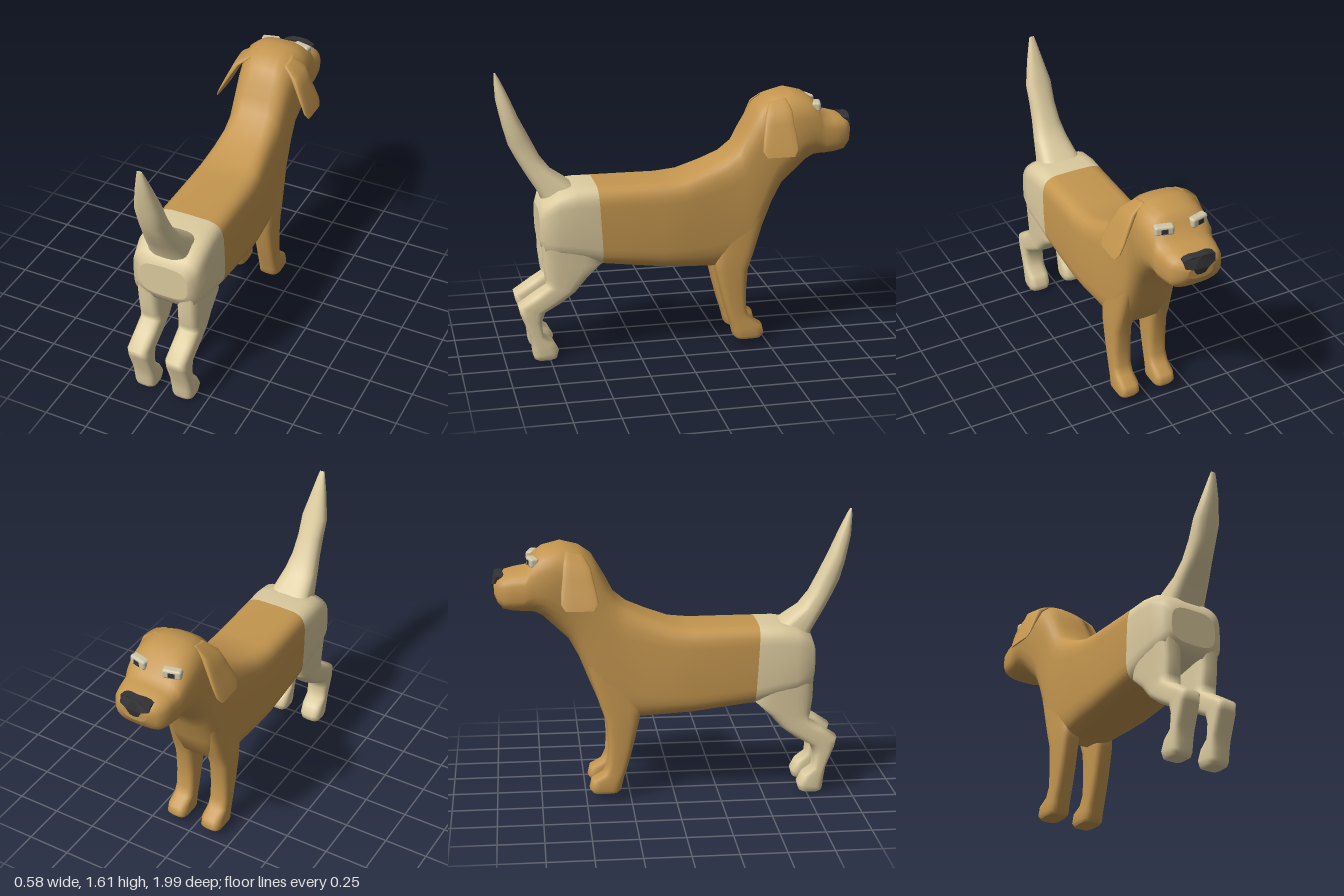
import * as THREE from 'three';
import { RoundedBoxGeometry } from 'three/addons/geometries/RoundedBoxGeometry.js';

const material = (name, color, side = THREE.FrontSide) =>
  Object.assign(new THREE.MeshStandardMaterial({ color, side }), { name });

// Skin over rounded rings. Each ring is [yA, zA, yB, zB, halfWidth, centreX, roundness],
// spanning the line A-B in the side plane; roundness 1 is an ellipse, lower is boxier.
function loft(rings, side = 1, segments = 28) {
  const pos = [], index = [];
  const n = segments, last = rings.length - 1;
  const soft = (v, p) => Math.sign(v) * Math.pow(Math.abs(v), p);
  const addRing = ([yA, zA, yB, zB, w, cx = 0, p = 0.6]) => {
    for (let j = 0; j < n; j++) {
      const t = (j / n) * Math.PI * 2;
      const c = soft(Math.cos(t), p), s = soft(Math.sin(t), p);
      pos.push(cx * side + w * c, (yA + yB) / 2 + ((yA - yB) / 2) * s, (zA + zB) / 2 + ((zA - zB) / 2) * s);
    }
  };
  rings.forEach(addRing);
  for (let i = 0; i < last; i++) {
    for (let j = 0; j < n; j++) {
      const k = (j + 1) % n, a = i * n, b = a + n;
      index.push(a + j, b + j, b + k, a + j, b + k, a + k);
    }
  }
  // end caps with their own vertices
  [0, last].forEach((i) => {
    const base = pos.length / 3;
    addRing(rings[i]);
    for (let j = 1; j < n - 1; j++) {
      if (i === 0) index.push(base, base + j, base + j + 1);
      else index.push(base, base + j + 1, base + j);
    }
  });
  const g = new THREE.BufferGeometry();
  g.setAttribute('position', new THREE.Float32BufferAttribute(pos, 3));
  g.setIndex(index);
  g.computeVertexNormals();
  return g;
}

export function createModel() {
  const dog = new THREE.Group();
  dog.name = 'dog';
  const tan = material('tan coat', 0xc4964f);
  const cream = material('cream coat', 0xdccb9f);
  const black = material('black nose', 0x333336);
  const eyeWhite = material('eye', 0xcfc5a8);

  const add = (name, geometry, mat, parent = dog) => {
    const mesh = new THREE.Mesh(geometry, mat);
    mesh.name = name;
    parent.add(mesh);
    return mesh;
  };

  // torso, neck, head and muzzle, running from the waist forward
  add('bodyAndHead', loft([
    [0.985, 0.47, 0.535, 0.445, 0.2, 0, 0.4],
    [0.985, 0.1, 0.49, 0.1, 0.2, 0, 0.4],
    [1.0, -0.02, 0.48, -0.02, 0.195, 0, 0.42],
    [1.05, -0.15, 0.465, -0.17, 0.18, 0, 0.45],
    [1.1, -0.26, 0.465, -0.3, 0.172, 0, 0.48],
    [1.16, -0.33, 0.52, -0.41, 0.17, 0, 0.52],
    [1.24, -0.37, 0.68, -0.475, 0.168, 0, 0.55],
    [1.31, -0.41, 0.82, -0.53, 0.168, 0, 0.58],
    [1.38, -0.45, 0.92, -0.585, 0.172, 0, 0.65],
    [1.43, -0.52, 0.99, -0.66, 0.185, 0, 0.72],
    [1.455, -0.62, 1.05, -0.72, 0.195, 0, 0.75],
    [1.43, -0.72, 1.075, -0.765, 0.185, 0, 0.75],
    [1.385, -0.78, 1.08, -0.795, 0.177, 0, 0.72],
    [1.32, -0.805, 1.085, -0.83, 0.17, 0, 0.65],
    [1.31, -0.87, 1.09, -0.89, 0.162, 0, 0.65],
    [1.295, -0.93, 1.1, -0.935, 0.15, 0, 0.65],
    [1.275, -0.965, 1.13, -0.965, 0.12, 0, 0.7],
    [1.245, -0.985, 1.17, -0.983, 0.07, 0, 0.8],
  ]), tan);

  // rump, running from the back forward to the waist
  add('hindquarters', loft([
    [0.86, 0.79, 0.66, 0.785, 0.14],
    [0.92, 0.765, 0.61, 0.765, 0.19, 0, 0.5],
    [0.97, 0.68, 0.585, 0.68, 0.205, 0, 0.45],
    [0.985, 0.58, 0.565, 0.57, 0.205, 0, 0.42],
    [0.985, 0.47, 0.535, 0.445, 0.2, 0, 0.4],
  ]), cream);

  // tail, rising from the rump
  add('tail', loft([
    [0.86, 0.76, 0.94, 0.55, 0.13],
    [0.93, 0.775, 1.0, 0.62, 0.115],
    [1.05, 0.85, 1.06, 0.705, 0.095, 0, 0.75],
    [1.13, 0.895, 1.14, 0.765, 0.08, 0, 0.8],
    [1.21, 0.935, 1.25, 0.82, 0.073, 0, 0.85],
    [1.32, 0.965, 1.36, 0.875, 0.075, 0, 0.85],
    [1.46, 0.995, 1.49, 0.93, 0.045, 0, 0.85],
    [1.56, 1.0, 1.575, 0.97, 0.024, 0, 0.9],
    [1.605, 0.998, 1.605, 0.988, 0.015, 0, 1],
  ]), cream);

  const hindLeg = [
    [0.75, 0.5, 0.75, 0.78, 0.075, 0.122],
    [0.545, 0.45, 0.56, 0.777, 0.07, 0.118],
    [0.47, 0.53, 0.47, 0.766, 0.067, 0.115],
    [0.39, 0.6, 0.43, 0.757, 0.066, 0.115],
    [0.33, 0.68, 0.385, 0.83, 0.065, 0.115],
    [0.28, 0.77, 0.325, 0.92, 0.065, 0.115],
    [0.22, 0.79, 0.27, 0.908, 0.065, 0.115],
    [0.14, 0.785, 0.15, 0.86, 0.064, 0.115],
    [0.105, 0.73, 0.08, 0.85, 0.066, 0.115],
    [0.05, 0.7, 0.03, 0.845, 0.066, 0.115],
    [0.01, 0.71, 0.01, 0.838, 0.06, 0.115],
    [0.0, 0.73, 0.0, 0.825, 0.045, 0.115],
  ];
  const frontLeg = [
    [0.78, -0.49, 0.75, -0.22, 0.06, 0.105],
    [0.55, -0.42, 0.52, -0.19, 0.065, 0.108],
    [0.45, -0.385, 0.45, -0.2, 0.062, 0.112],
    [0.3, -0.375, 0.3, -0.235, 0.06, 0.112],
    [0.2, -0.38, 0.19, -0.265, 0.058, 0.112],
    [0.145, -0.405, 0.13, -0.285, 0.06, 0.112],
    [0.11, -0.47, 0.09, -0.295, 0.064, 0.112],
    [0.06, -0.482, 0.05, -0.305, 0.066, 0.112],
    [0.035, -0.465, 0.035, -0.32, 0.055, 0.112],
  ];
  const ear = [
    [1.425, -0.59, 1.4, -0.5, 0.014, 0.11],
    [1.375, -0.608, 1.35, -0.465, 0.022, 0.175],
    [1.3, -0.615, 1.29, -0.45, 0.018, 0.208],
    [1.22, -0.625, 1.22, -0.435, 0.013, 0.244],
    [1.165, -0.627, 1.165, -0.425, 0.009, 0.27],
    [1.13, -0.605, 1.13, -0.445, 0.005, 0.286],
  ];

  // paired parts
  for (const side of [1, -1]) {
    const label = side > 0 ? 'left' : 'right';
    add(label + 'HindLeg', loft(hindLeg, side), cream);
    add(label + 'FrontLeg', loft(frontLeg, side), tan);
    add(label + 'Ear', loft(ear, side), tan);

    const eye = new THREE.Group();
    eye.name = label + 'Eye';
    eye.position.set(side * 0.098, 1.365, -0.772);
    eye.rotation.y = -side * 0.25;
    add('eyeball', new RoundedBoxGeometry(0.105, 0.055, 0.05, 3, 0.015), eyeWhite, eye);
    add('pupil', new THREE.BoxGeometry(0.035, 0.025, 0.006), black, eye).position.z = -0.026;
    dog.add(eye);
  }

  // nose, bent around the tip of the muzzle
  const outline = [[-0.09, 1.285], [-0.045, 1.3], [0, 1.3], [0.045, 1.3], [0.09, 1.285],
    [0.085, 1.245], [0.045, 1.235], [0.025, 1.2], [0, 1.195], [-0.025, 1.2], [-0.045, 1.235], [-0.085, 1.245]];
  const noseGeometry = new THREE.ExtrudeGeometry(
    new THREE.Shape(outline.map(([x, y]) => new THREE.Vector2(x, y))), { depth: 0.045, bevelEnabled: false });
  const p = noseGeometry.attributes.position;
  for (let i = 0; i < p.count; i++) {
    const x = p.getX(i), y = p.getY(i);
    p.setZ(i, p.getZ(i) - 1.0 + 2.5 * x * x + Math.max(0, y - 1.26) * 0.4 + Math.max(0, 1.23 - y) * 0.3);
  }
  noseGeometry.computeVertexNormals();
  add('nose', noseGeometry, black);

  return dog;
}
